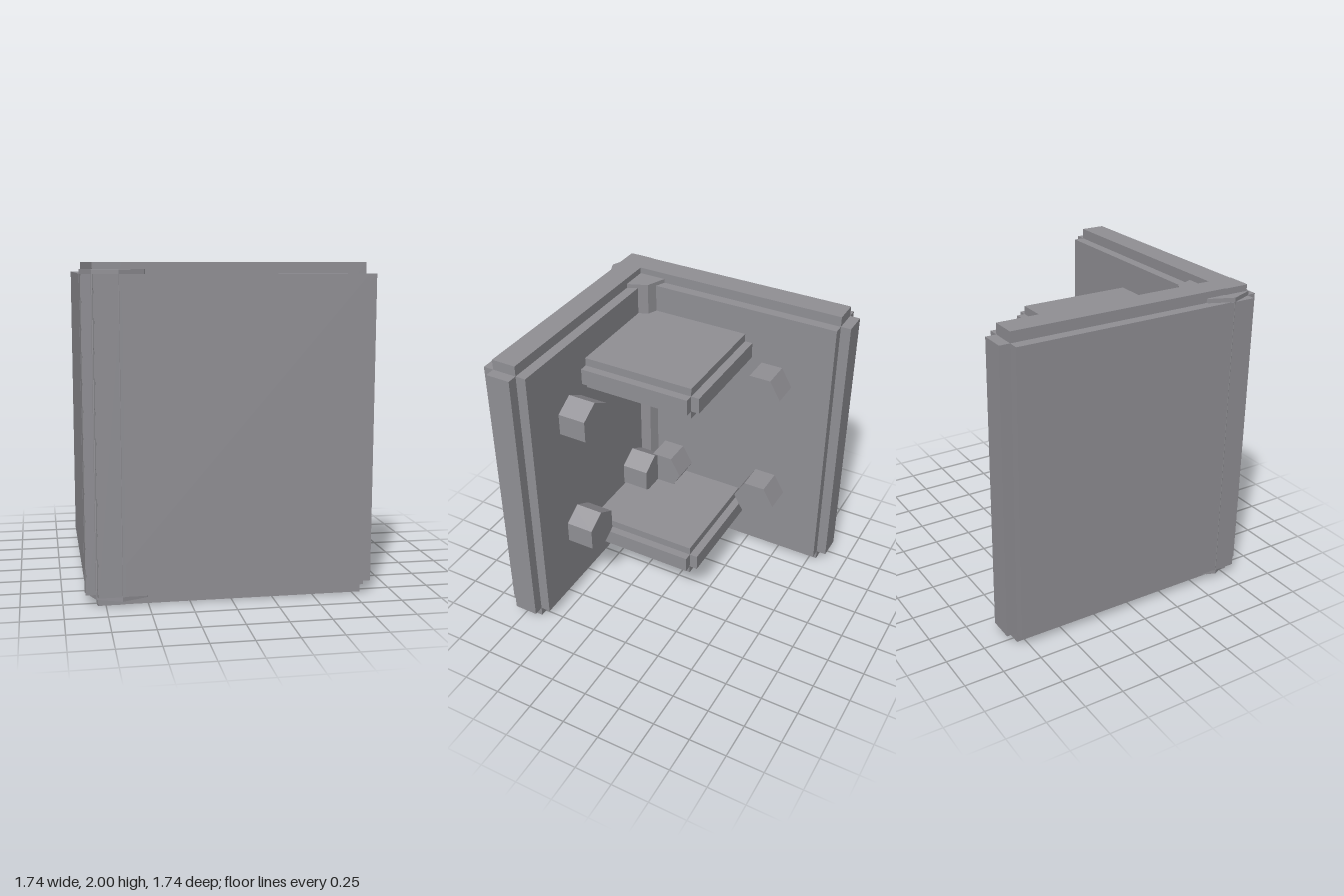
import * as THREE from 'three';

const material = new THREE.MeshStandardMaterial({ color: 0x919095, flatShading: true });

function addMesh(parent, name, geometry, x, y, z) {
  const mesh = new THREE.Mesh(geometry, material);
  mesh.name = name;
  mesh.position.set(x, y, z);
  parent.add(mesh);
  return mesh;
}

// Box with a square notch n cut along all of its edges: three crossing boxes
function addNotchedBox(parent, name, min, max, n) {
  const size = max.map((v, i) => v - min[i]);
  const centre = max.map((v, i) => (v + min[i]) / 2);
  const group = new THREE.Group();
  group.name = name;
  group.position.set(...centre);
  ['Sides', 'Ends', 'Faces'].forEach((part, axis) => {
    const s = size.map((v, i) => (i === axis ? v : v - 2 * n));
    addMesh(group, name + part, new THREE.BoxGeometry(...s), 0, 0, 0);
  });
  parent.add(group);
}

export function createModel() {
  const model = new THREE.Group();
  model.name = 'cornerBracket';

  // Two wall plates meeting at a right angle
  addNotchedBox(model, 'frontPlate', [-0.868, 0, 0.57], [0.868, 2, 0.863], 0.067);
  addNotchedBox(model, 'sidePlate', [-0.863, 0, -0.868], [-0.57, 2, 0.868], 0.067);

  // Eight-sided column along the inside corner
  addMesh(model, 'cornerColumn', new THREE.CylinderGeometry(0.212, 0.212, 1.92, 8), -0.657, 1, 0.657);

  // Two square gussets bridging the plates
  for (const [name, y] of [['upperGusset', 1.64], ['lowerGusset', 0.364]]) {
    addNotchedBox(model, name, [-0.72, y - 0.108, -0.237], [0.235, y + 0.108, 0.72], 0.054);
  }

  // Hexagonal bolt heads, mirrored across the corner diagonal
  const sideBolt = new THREE.CylinderGeometry(0.147, 0.147, 0.245, 6).rotateZ(Math.PI / 2);
  const frontBolt = new THREE.CylinderGeometry(0.147, 0.147, 0.245, 6).rotateX(Math.PI / 2);
  for (const y of [0.562, 1.441]) {
    for (const along of [-0.347, 0.383]) {
      addMesh(model, 'sideBolt', sideBolt, -0.507, y, -along);
      addMesh(model, 'frontBolt', frontBolt, along, y, 0.505);
    }
  }
  return model;
}
